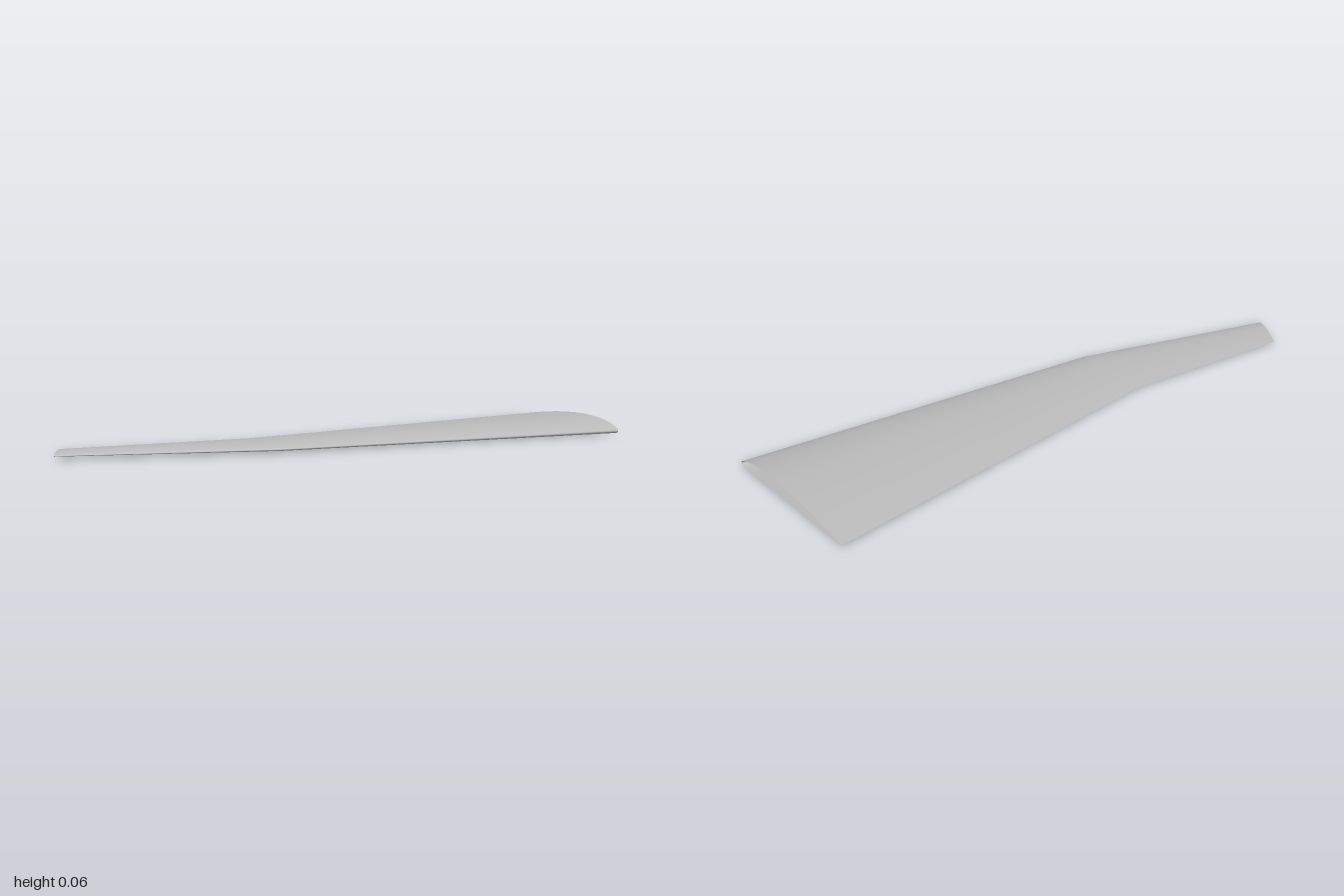
import * as THREE from 'three';

// Cambered airfoil: height as a fraction of chord at u (0 = leading edge, 1 = trailing edge)
const CAMBER = 0.034, CAMBER_AT = 0.4, THICKNESS = 0.096;
function airfoil(u, side) {
  const p = CAMBER_AT;
  const camber = u < p
    ? CAMBER / (p * p) * (2 * p * u - u * u)
    : CAMBER / ((1 - p) ** 2) * (1 - 2 * p + 2 * p * u - u * u);
  const half = 5 * THICKNESS *
    (0.2969 * Math.sqrt(u) - 0.126 * u - 0.3516 * u ** 2 + 0.2843 * u ** 3 - 0.1036 * u ** 4);
  return camber + side * half;
}

// Lofted skin through the span stations, open at both ends
function wingSkin(stations, chordY, steps) {
  const positions = [], index = [];
  const ring = 2 * steps + 1;
  for (const { lead, trail } of stations) {
    const chord = lead[1] - trail[1];
    // Over the top from trailing edge to nose, then back underneath
    for (let i = 0; i < ring; i++) {
      const t = i / steps - 1;
      const u = 1 - Math.cos(Math.abs(t) * Math.PI / 2);
      positions.push(
        THREE.MathUtils.lerp(lead[0], trail[0], u),
        chordY + chord * airfoil(u, t < 0 ? 1 : -1),
        THREE.MathUtils.lerp(lead[1], trail[1], u));
    }
  }
  for (let s = 0; s < stations.length - 1; s++) {
    for (let i = 0; i < ring - 1; i++) {
      const a = s * ring + i, b = a + 1, c = a + ring, d = c + 1;
      index.push(a, c, b, b, c, d);
    }
  }
  const geometry = new THREE.BufferGeometry();
  geometry.setAttribute('position', new THREE.Float32BufferAttribute(positions, 3));
  geometry.setIndex(index);
  geometry.computeVertexNormals();
  return geometry;
}

export function createModel() {
  const group = new THREE.Group();
  group.name = 'wing';

  const skinGrey = new THREE.MeshStandardMaterial({ color: 0xb8b8b8, side: THREE.DoubleSide });
  skinGrey.name = 'skin grey';

  // Root, kink and raked tip, each as [x, z] of the two edges
  const stations = [
    { lead: [1, 0.35], trail: [1, -0.222] },
    { lead: [-0.3, 0.064], trail: [-0.3, -0.22] },
    { lead: [-1, -0.219], trail: [-0.925, -0.35] },
  ];
  const skin = new THREE.Mesh(wingSkin(stations, 0.0131, 32), skinGrey);
  skin.name = 'wingSkin';
  group.add(skin);
  return group;
}
